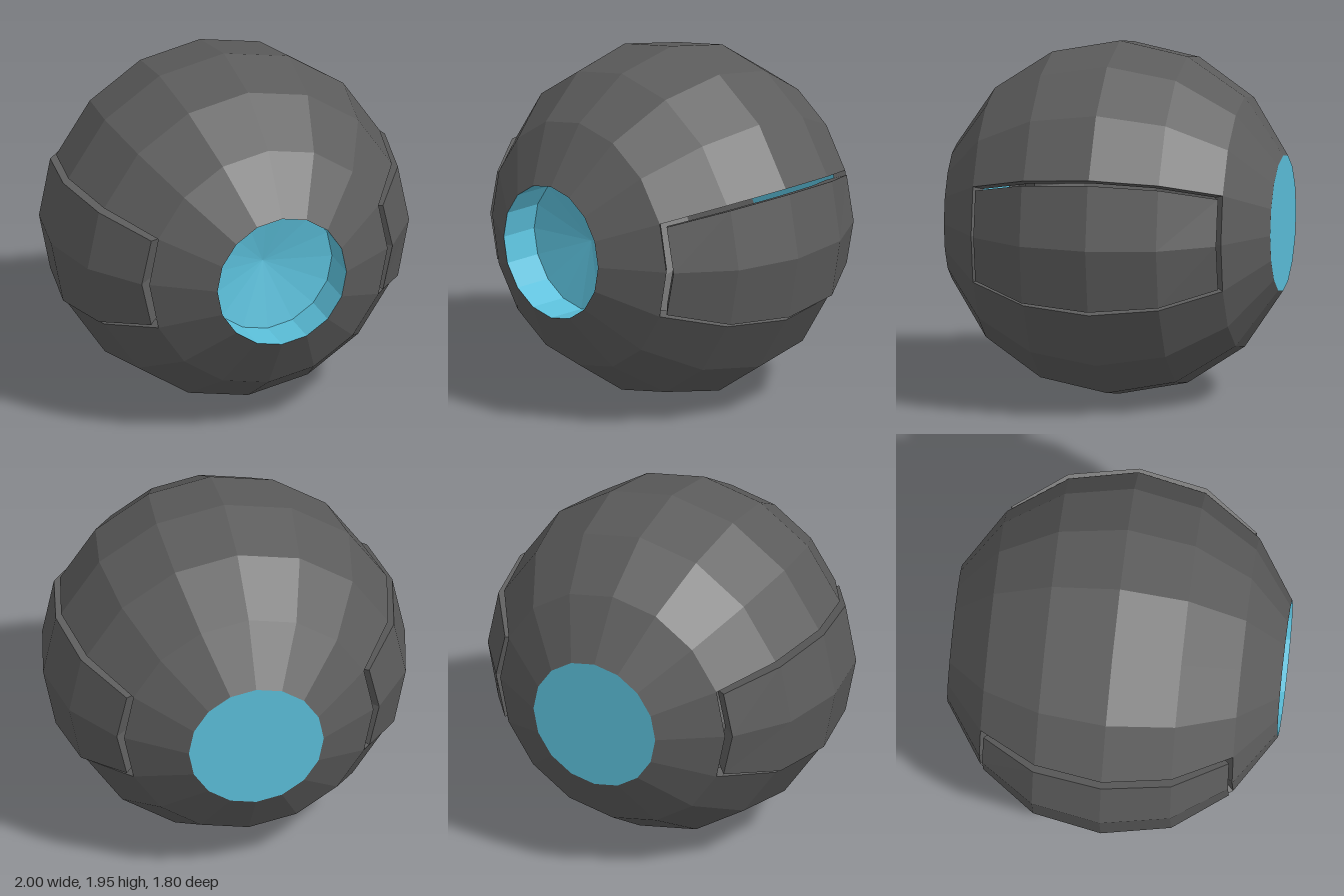
import * as THREE from 'three';

const R = 0.975, STEP = Math.PI / 8;

// Point on the faceted ball: ring i counts from +z to -z, spoke j runs around z from +x
function ballPoint(i, j) {
  const r = R * Math.sin(i * STEP);
  return [r * Math.cos(j * STEP), r * Math.sin(j * STEP), R * Math.cos(i * STEP)];
}

function quadGeometry(quads) {
  const pos = [];
  for (const [a, b, c, d] of quads) pos.push(...a, ...b, ...c, ...a, ...c, ...d);
  const g = new THREE.BufferGeometry();
  g.setAttribute('position', new THREE.Float32BufferAttribute(pos, 3));
  g.computeVertexNormals();
  return g;
}

// Quads from a 5 x 3 patch of points
function patchQuads(at) {
  const quads = [];
  for (let i = 0; i < 4; i++)
    for (let j = 0; j < 2; j++) quads.push([at(i, j), at(i + 1, j), at(i + 1, j + 1), at(i, j + 1)]);
  return quads;
}

// Walls running from the rim of a patch toward the centre of the ball
function rimQuads(at, scale, flip) {
  const loop = [[0, 0], [1, 0], [2, 0], [3, 0], [4, 0], [4, 1], [4, 2], [3, 2], [2, 2], [1, 2], [0, 2], [0, 1]];
  return loop.map((p, k) => {
    const a = at(...p), b = at(...loop[(k + 1) % loop.length]);
    const ai = a.map(v => v * scale), bi = b.map(v => v * scale);
    return flip ? [a, b, bi, ai] : [a, ai, bi, b];
  });
}

export function createModel() {
  const model = new THREE.Group();
  const grey = new THREE.MeshStandardMaterial({ color: 0x5c5c5c, flatShading: true, side: THREE.DoubleSide });
  grey.name = 'dark grey';
  const blue = new THREE.MeshStandardMaterial({ color: 0x5bbfda, flatShading: true, side: THREE.DoubleSide });
  blue.name = 'light blue';

  const add = (name, geometry, material) => {
    const m = new THREE.Mesh(geometry, material);
    m.name = name;
    m.position.y = R;
    model.add(m);
    return m;
  };

  // Ball shell with a window on each side and open ends
  const shell = [];
  for (let i = 1; i < 7; i++)
    for (let j = 0; j < 16; j++) {
      const window = i >= 2 && i < 6 && [15, 0, 7, 8].includes(j);
      if (!window) shell.push([ballPoint(i, j), ballPoint(i + 1, j), ballPoint(i + 1, j + 1), ballPoint(i, j + 1)]);
    }
  add('shell', quadGeometry(shell), grey);

  // Raised side panels, each in its own lipped window
  const z = [0.67, 0.377, 0, -0.377, -0.67];
  const ridge = [0.725, 0.93, 1, 0.93, 0.725];
  const edge = [[0.67, 0.25], [0.865, 0.325], [0.93, 0.35], [0.865, 0.325], [0.67, 0.25]];
  const panelPoint = (i, j) => (j === 1 ? [ridge[i], 0, z[i]] : [edge[i][0], (j - 1) * edge[i][1], z[i]]);
  const windowPoint = (i, j) => ballPoint(i + 2, j - 1);
  const panel = quadGeometry([...patchQuads(panelPoint), ...rimQuads(panelPoint, 0.88, false)]);
  const lip = quadGeometry(rimQuads(windowPoint, 0.93, true));
  [['left', 0], ['right', Math.PI]].forEach(([side, turn]) => {
    add(side + 'Panel', panel, grey).rotation.z = turn;
    add(side + 'WindowLip', lip, grey).rotation.z = turn;
  });

  // Front socket: straight wall with a shallow concave floor
  const [endR, , endZ] = ballPoint(1, 0);
  const profile = [[0, 0.6], [endR, 0.675], [endR, endZ]].map(p => new THREE.Vector2(...p));
  add('frontSocket', new THREE.LatheGeometry(profile, 16).rotateX(Math.PI / 2), blue);

  // Flat disc closing the back
  add('backDisc', new THREE.CircleGeometry(endR, 16).rotateY(Math.PI).translate(0, 0, -endZ), blue);

  return model;
}
